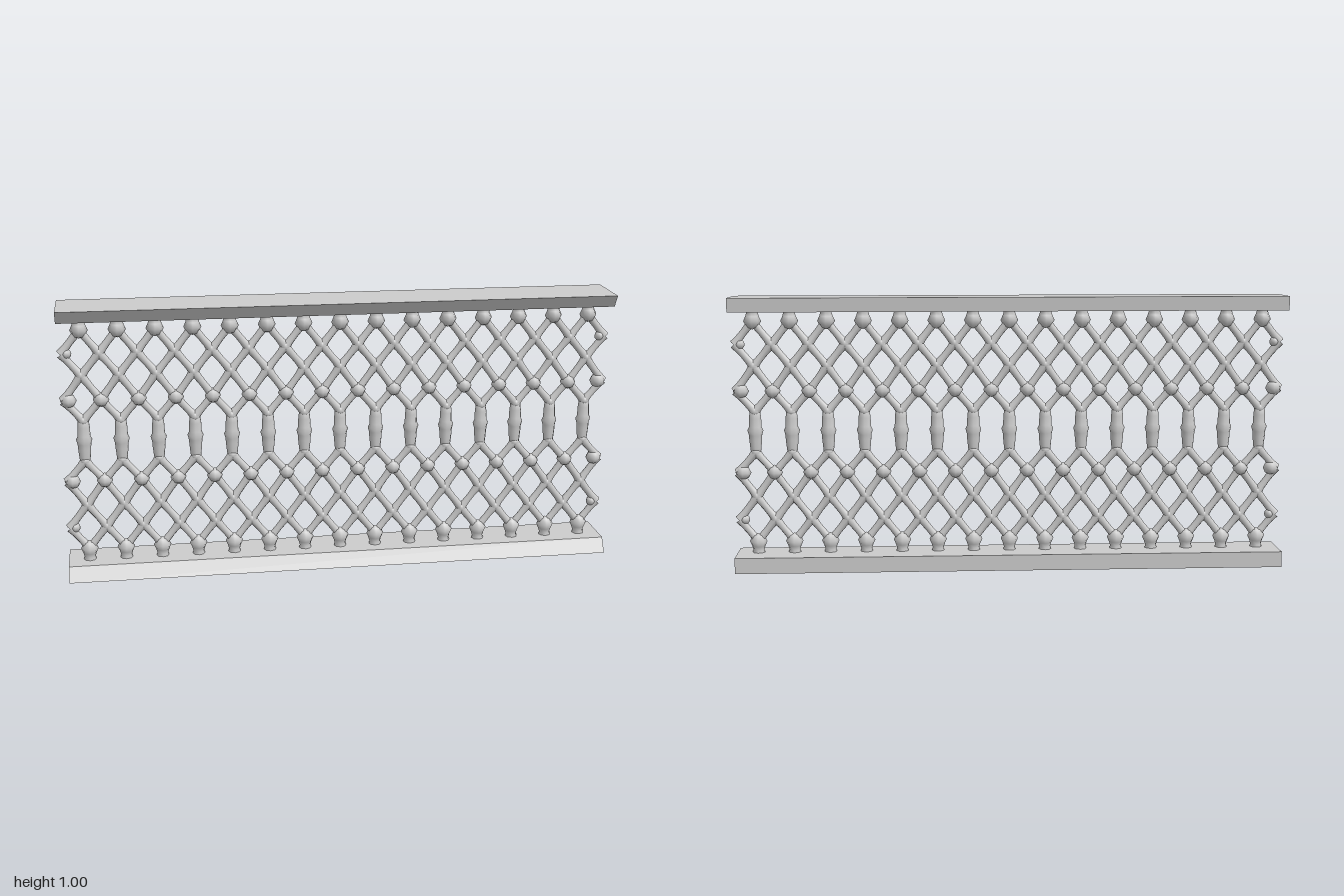
import * as THREE from 'three';

const PITCH = 0.132; // spacing between balusters
const COUNT = 15;
const material = new THREE.MeshStandardMaterial({ color: 0xcccccc });

function addMesh(parent, geometry, name, x = 0, y = 0) {
  const mesh = new THREE.Mesh(geometry, material);
  mesh.name = name;
  mesh.position.set(x, y, 0);
  parent.add(mesh);
  return mesh;
}

// Solid of revolution from [radius, height] pairs, listed bottom to top
function turned(profile, depth = 1) {
  return new THREE.LatheGeometry(profile.map(([r, y]) => new THREE.Vector2(r, y)), 8).scale(1, 1, depth);
}

// Long rail from a [z, y] cross-section
function railGeometry(section) {
  const shape = new THREE.Shape(section.map(([z, y]) => new THREE.Vector2(z, y)));
  const geometry = new THREE.ExtrudeGeometry(shape, { depth: 2, bevelEnabled: false });
  return geometry.rotateY(-Math.PI / 2).translate(1, 0, 0);
}

export function createModel() {
  const model = new THREE.Group();
  model.name = 'latticeRailing';

  // Rails with a slanted front face
  addMesh(model, railGeometry([[0.07, 0.947], [0.1, 0.992], [-0.1, 0.998], [-0.096, 0.947]]), 'topRail');
  addMesh(model, railGeometry([[0.1, 0.003], [0.07, 0.055], [-0.1, 0.058], [-0.1, 0]]), 'bottomRail');

  // Shared part shapes
  const stub = turned([[0, -0.03], [0.02, -0.022], [0.032, 0], [0.024, 0.018], [0.02, 0.032], [0.025, 0.05]]);
  const bar = turned([[0, -0.095], [0.017, -0.085], [0.02, -0.06], [0.023, -0.03], [0.024, -0.012],
    [0.029, 0.006], [0.023, 0.018], [0.022, 0.05], [0.018, 0.085], [0, 0.095]], 0.85);
  const knot = turned([[0, -0.028], [0.02, -0.018], [0.029, 0], [0.02, 0.018], [0, 0.028]], 1.1);
  const joint = new THREE.SphereGeometry(0.019, 8, 6);
  const strutShape = turned([[0.018, -0.5], [0.014, -0.25], [0.013, 0], [0.014, 0.25], [0.018, 0.5]]);

  // Node heights, alternating baluster line / midway line
  const zigzags = [[0.908, 0.825, 0.745, 0.655, 0.58], [0.098, 0.18, 0.265, 0.355, 0.43]];

  const lattice = new THREE.Group();
  lattice.name = 'lattice';
  model.add(lattice);

  // Balusters: end stubs and central bar
  for (let i = 0; i < COUNT; i++) {
    const x = (i - (COUNT - 1) / 2) * PITCH;
    addMesh(lattice, stub, 'topStub', x, 0.908);
    addMesh(lattice, stub, 'bottomStub', x, 0.098).rotation.z = Math.PI;
    addMesh(lattice, bar, 'centreBar', x, 0.505);

    // Diagonal struts fanning to both sides
    for (const heights of zigzags) {
      addMesh(lattice, joint, 'joint', x, heights[2]);
      addMesh(lattice, joint, 'joint', x, heights[4]);
      for (const side of [-1, 1]) {
        for (let k = 0; k < 4; k++) {
          const dx = (k % 2 ? -1 : 1) * side * PITCH / 2;
          const dy = heights[k + 1] - heights[k];
          const strut = addMesh(lattice, strutShape, 'strut', x + side * PITCH / 4, (heights[k] + heights[k + 1]) / 2);
          strut.rotation.z = Math.atan2(-dx, dy);
          strut.scale.y = Math.hypot(dx, dy);
        }
      }
    }
  }

  // Midway nodes where neighbouring struts meet
  for (let i = 0; i <= COUNT; i++) {
    const x = (i - COUNT / 2) * PITCH;
    for (const heights of zigzags) {
      addMesh(lattice, joint, 'joint', x, heights[1]);
      addMesh(lattice, knot, 'knot', x, heights[3]);
    }
  }

  // Keep the end knots flush with the rail ends
  for (const part of lattice.children) {
    if (Math.abs(part.position.x) > 0.98) part.position.x = Math.sign(part.position.x) * 0.972;
  }
  return model;
}
